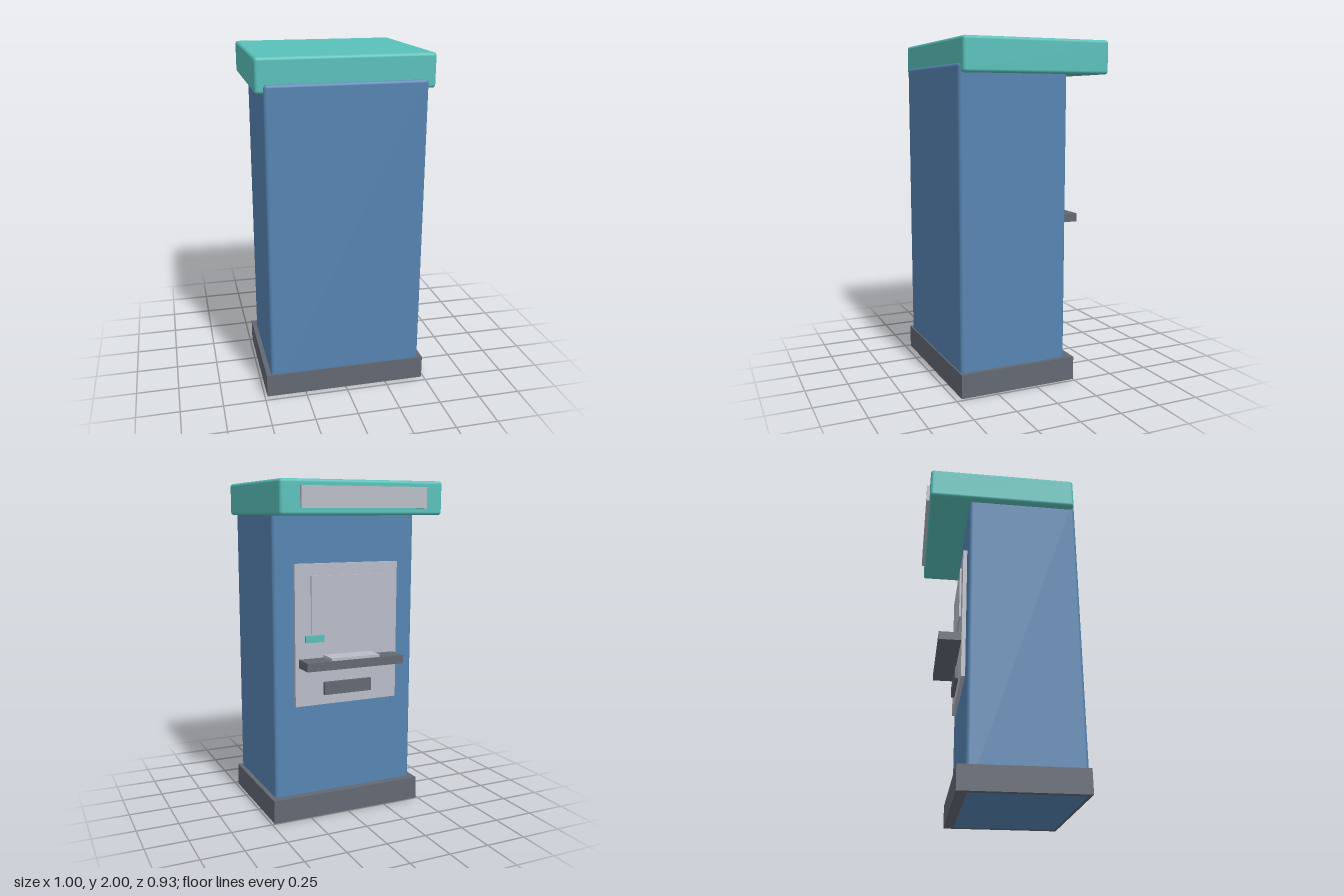
import * as THREE from 'three';
import { RoundedBoxGeometry } from 'three/addons/geometries/RoundedBoxGeometry.js';

const material = (name, color) => {
  const m = new THREE.MeshStandardMaterial({ color });
  m.name = name;
  return m;
};

export function createModel() {
  const group = new THREE.Group();
  group.name = 'cashMachine';
  const blue = material('cabinet blue', 0x5684b2);
  const teal = material('canopy teal', 0x59c0b9);
  const dark = material('dark grey', 0x626873);
  const light = material('light grey', 0xb9bdc8);

  // Box given by its limits on each axis; a radius rounds its edges
  const box = (name, mat, [x0, x1], [y0, y1], [z0, z1], radius = 0) => {
    const size = [x1 - x0, y1 - y0, z1 - z0];
    const geometry = radius
      ? new RoundedBoxGeometry(...size, 3, radius)
      : new THREE.BoxGeometry(...size);
    const mesh = new THREE.Mesh(geometry, mat);
    mesh.name = name;
    mesh.position.set((x0 + x1) / 2, (y0 + y1) / 2, (z0 + z1) / 2);
    group.add(mesh);
  };

  // Cabinet, plinth and overhanging canopy
  box('plinth', dark, [-0.485, 0.485], [0.002, 0.142], [-0.25, 0.465]);
  box('cabinet', blue, [-0.457, 0.457], [0, 1.86], [-0.2, 0.457], 0.02);
  box('canopy', teal, [-0.5, 0.5], [1.808, 2], [-0.446, 0.446], 0.018);
  box('canopySign', light, [-0.385, 0.385], [1.847, 1.965], [-0.465, -0.44]);

  // Operating side, facing -z
  box('panel', light, [-0.333, 0.333], [0.695, 1.535], [-0.224, -0.195]);
  box('screen', light, [-0.234, 0.234], [1.125, 1.465], [-0.235, -0.22]);
  box('cardSlot', teal, [0.157, 0.273], [1.077, 1.118], [-0.245, -0.22]);
  box('shelf', dark, [-0.312, 0.312], [0.93, 0.98], [-0.357, -0.22]);
  box('keypad', light, [-0.155, 0.155], [0.975, 0.996], [-0.345, -0.22]);
  box('cashSlot', dark, [-0.155, 0.155], [0.755, 0.832], [-0.245, -0.22]);

  return group;
}
